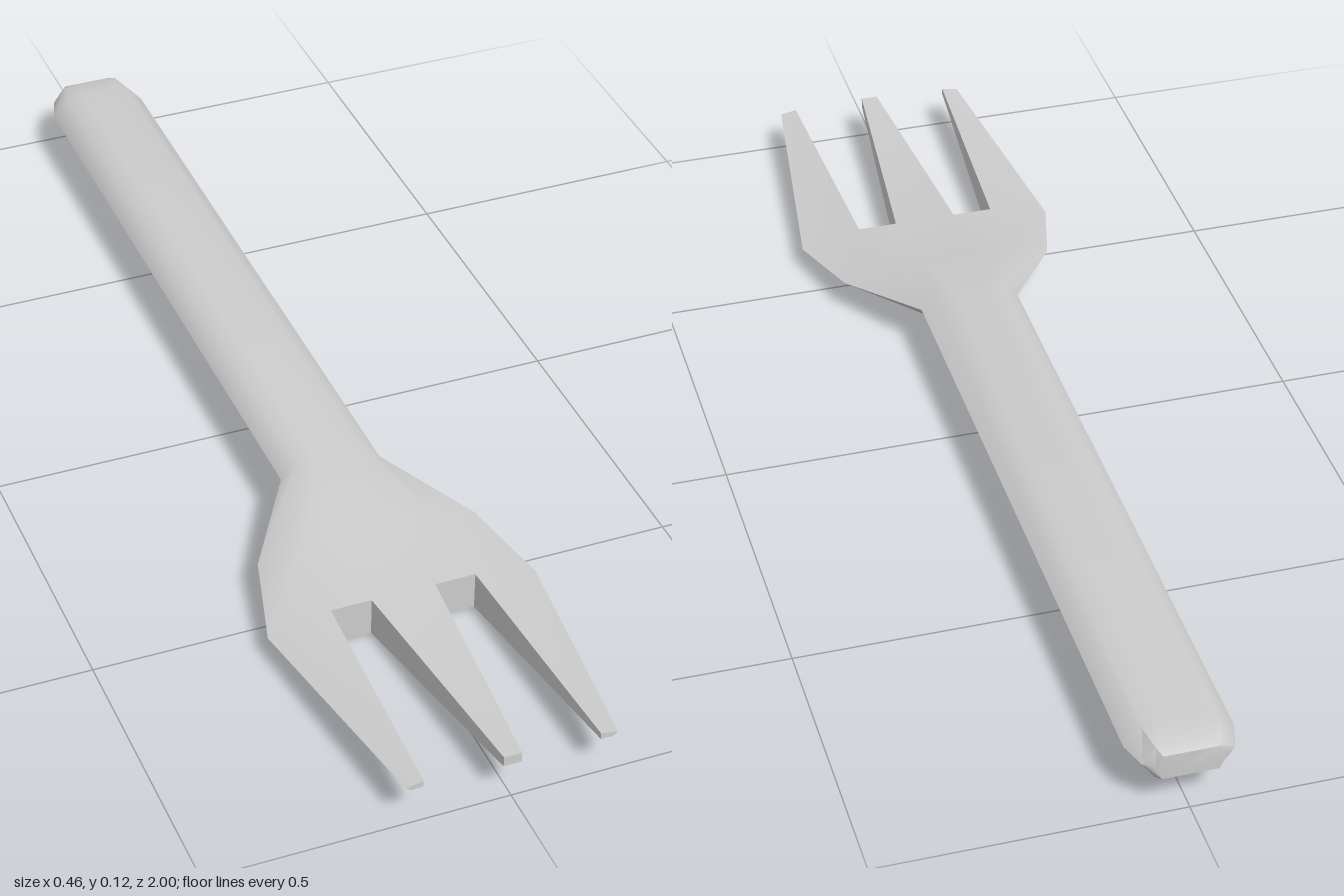
import * as THREE from 'three';
import { toCreasedNormals } from 'three/addons/utils/BufferGeometryUtils.js';

// Cross-section, counter-clockwise seen from +z: widest edge, top corners, bottom corners.
// m/t/b are half widths of the middle, top and bottom; c and d are the inner splits above the notches.
function section({ z, m, yMid, t, yTop, b, yBot, c = t * 0.44, d = t }) {
  const right = [[m, yMid], [t, yTop], [c, yTop]];
  const under = [[c, yBot], [d, yBot], [b, yBot]];
  const flip = (list) => list.map(([x, y]) => [-x, y]).reverse();
  return [...right, ...flip(right), ...flip(under), ...under]
    .map(([x, y]) => new THREE.Vector3(x, y, z));
}

function fan(out, loop) {
  for (let i = 1; i < loop.length - 1; i++) out.push(loop[0], loop[i], loop[i + 1]);
}

function loft(out, a, b) {
  a.forEach((p, i) => {
    const j = (i + 1) % a.length;
    out.push(p, a[j], b[j], p, b[j], b[i]);
  });
}

function toMesh(name, points) {
  const geometry = new THREE.BufferGeometry().setFromPoints(points);
  const mesh = new THREE.Mesh(
    toCreasedNormals(geometry, 0.9),
    new THREE.MeshStandardMaterial({ color: 0xcccccc })
  );
  mesh.name = name;
  return mesh;
}

export function createModel() {
  const group = new THREE.Group();
  group.name = 'fork';

  // Handle with a rounded end, widening into the head
  const sections = [
    { z: -1, m: 0.056, yMid: 0.09, t: 0.045, yTop: 0.112, b: 0.045, yBot: 0.067 },
    { z: -0.985, m: 0.073, yMid: 0.09, t: 0.052, yTop: 0.118, b: 0.052, yBot: 0.06 },
    { z: -0.94, m: 0.088, yMid: 0.09, t: 0.06, yTop: 0.122, b: 0.06, yBot: 0.056 },
    { z: 0.26, m: 0.088, yMid: 0.09, t: 0.06, yTop: 0.113, b: 0.06, yBot: 0.065, d: 0.045 },
    { z: 0.42, m: 0.19, yMid: 0.062, t: 0.11, yTop: 0.086, b: 0.145, yBot: 0.035, d: 0.1 },
    { z: 0.575, m: 0.232, yMid: 0.043, t: 0.125, yTop: 0.068, b: 0.187, yBot: 0, c: 0.055 },
  ].map(section);

  const points = [];
  fan(points, [...sections[0]].reverse());
  for (let i = 1; i < sections.length; i++) loft(points, sections[i - 1], sections[i]);

  // Flat walls at the bottom of the two notches
  const root = sections[sections.length - 1];
  const pick = (ids) => ids.map((i) => root[i]);
  fan(points, pick([1, 2, 9, 10]));
  fan(points, pick([3, 4, 7, 8]));

  // Three tines tapering upward to blunt tips
  const outerTip = [[0.175, 0.073], [0.146, 0.078], [0.146, 0.067], [0.166, 0.066]];
  const tines = [
    { ids: [2, 3, 8, 9], tip: [[0.015, 0.082], [-0.015, 0.082], [-0.015, 0.064], [0.015, 0.064]] },
    { ids: [0, 1, 10, 11], tip: outerTip },
    { ids: [5, 6, 7, 4], tip: [0, 3, 2, 1].map((i) => [-outerTip[i][0], outerTip[i][1]]) },
  ];
  for (const { ids, tip } of tines) {
    const end = tip.map(([x, y]) => new THREE.Vector3(x, y, 1));
    loft(points, pick(ids), end);
    fan(points, end);
  }

  group.add(toMesh('forkBody', points));
  return group;
}
